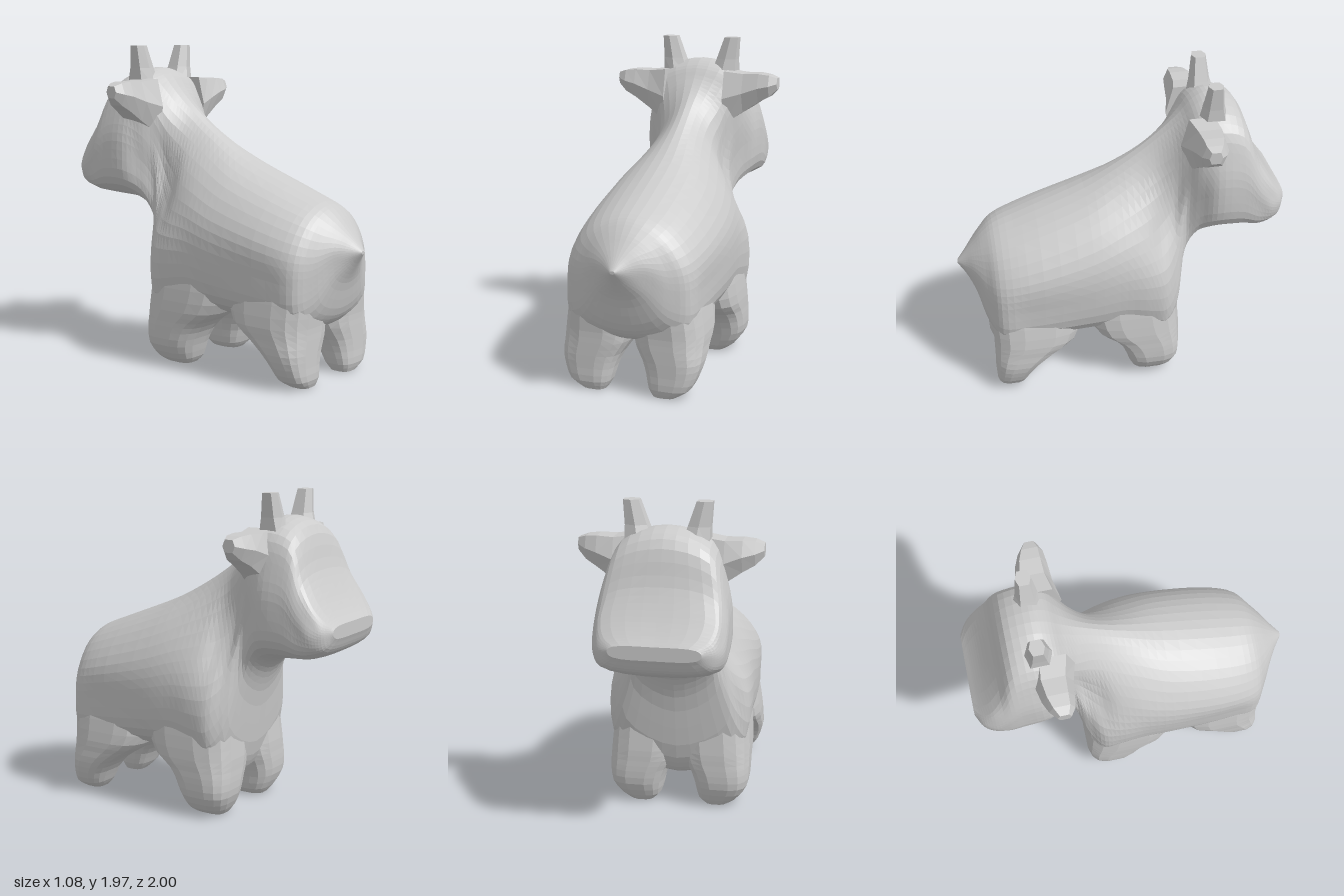
import * as THREE from 'three';

const V = (x, y, z) => new THREE.Vector3(x, y, z);

// Skin a list of equal-length rings into a closed surface, ends fanned to their centres
function skin(rings) {
  const n = rings[0].length, pos = [], idx = [];
  rings.forEach(r => r.forEach(p => pos.push(p.x, p.y, p.z)));
  for (let i = 0; i < rings.length - 1; i++)
    for (let j = 0; j < n; j++) {
      const a = i * n + j, b = i * n + (j + 1) % n;
      idx.push(a, b, a + n, b, b + n, a + n);
    }
  [0, rings.length - 1].forEach(e => {
    const c = rings[e].reduce((s, p) => s.add(p), V(0, 0, 0)).divideScalar(n);
    const k = pos.push(c.x, c.y, c.z) / 3 - 1;
    for (let j = 0; j < n; j++) {
      const a = e * n + j, b = e * n + (j + 1) % n;
      if (e) idx.push(a, b, k); else idx.push(b, a, k);
    }
  });
  // Turn the faces outward if the enclosed volume comes out negative
  const at = i => V(pos[3 * i], pos[3 * i + 1], pos[3 * i + 2]);
  let volume = 0;
  for (let i = 0; i < idx.length; i += 3)
    volume += at(idx[i]).dot(at(idx[i + 1]).cross(at(idx[i + 2])));
  if (volume < 0) idx.reverse();
  const g = new THREE.BufferGeometry();
  g.setAttribute('position', new THREE.Float32BufferAttribute(pos, 3));
  g.setIndex(idx);
  g.computeVertexNormals();
  return g;
}

// Resample rings smoothly along their length
function smoothRings(rings, count) {
  const curves = rings[0].map((_, j) =>
    new THREE.CatmullRomCurve3(rings.map(r => r[j]), false, 'centripetal'));
  return Array.from({ length: count + 1 }, (_, i) => curves.map(c => c.getPoint(i / count)));
}

// Rounded-box ring spanning two ranges; place(u, v) maps it into space
function roundRing(u0, u1, v0, v1, sides, place) {
  const soft = t => Math.sign(t) * Math.pow(Math.abs(t), 0.65);
  return Array.from({ length: sides }, (_, i) => {
    const a = (i + 0.5) / sides * Math.PI * 2;
    return place((u0 + u1) / 2 + soft(Math.cos(a)) * (u1 - u0) / 2,
      (v0 + v1) / 2 + soft(Math.sin(a)) * (v1 - v0) / 2);
  });
}

// Trunk, neck and head: z, bottom, top, half widths at four heights
const sections = [
  [1.0, 0.78, 0.8, 0.01, 0.015, 0.015, 0.01],
  [0.95, 0.7, 0.86, 0.05, 0.08, 0.08, 0.05],
  [0.9, 0.6, 0.92, 0.13, 0.16, 0.16, 0.1],
  [0.84, 0.4, 0.99, 0.25, 0.28, 0.26, 0.16],
  [0.77, 0.33, 1.05, 0.35, 0.38, 0.35, 0.21],
  [0.6, 0.32, 1.12, 0.37, 0.41, 0.4, 0.24],
  [0.2, 0.32, 1.28, 0.38, 0.44, 0.41, 0.23],
  [0, 0.31, 1.39, 0.38, 0.44, 0.38, 0.18],
  [-0.15, 0.24, 1.49, 0.38, 0.44, 0.33, 0.15],
  [-0.25, 0.2, 1.57, 0.38, 0.42, 0.26, 0.15],
  [-0.33, 0.32, 1.64, 0.34, 0.33, 0.22, 0.18],
  [-0.4, 0.74, 1.71, 0.24, 0.25, 0.25, 0.22],
  [-0.47, 0.9, 1.79, 0.27, 0.3, 0.31, 0.27],
  [-0.56, 0.97, 1.83, 0.33, 0.37, 0.34, 0.26],
  [-0.72, 0.99, 1.78, 0.35, 0.38, 0.35, 0.26],
  [-0.82, 1.01, 1.53, 0.35, 0.38, 0.37, 0.3],
  [-0.9, 1.04, 1.38, 0.33, 0.37, 0.36, 0.32],
  [-0.96, 1.08, 1.29, 0.3, 0.33, 0.33, 0.29],
  [-1.0, 1.16, 1.24, 0.23, 0.26, 0.26, 0.23],
];
const heights = [0.13, 0.4, 0.65, 0.9];

function bodyRing([z, y0, y1, ...w]) {
  const side = s => w.map((x, i) => V(s * x, y0 + (y1 - y0) * heights[i], z));
  const loop = [V(0, y0, z), ...side(1), V(0, y1, z), ...side(-1).reverse()];
  const curve = new THREE.CatmullRomCurve3(loop, true, 'centripetal');
  return Array.from({ length: 40 }, (_, i) => curve.getPoint(i / 40));
}

// Leg levels: y, inner x, outer x, z range; the tops flare into the belly arch
const frontLevels = [
  [0.0, 0.16, 0.31, -0.28, -0.08],
  [0.04, 0.12, 0.37, -0.31, -0.05],
  [0.13, 0.1, 0.43, -0.35, -0.02],
  [0.22, 0.07, 0.44, -0.36, 0.02],
  [0.29, 0.03, 0.44, -0.36, 0.08],
  [0.36, 0.01, 0.44, -0.36, 0.18],
  [0.5, 0.0, 0.43, -0.35, 0.24],
  [0.75, 0.0, 0.4, -0.34, 0.24],
];
const hindLevels = [
  [0.0, 0.15, 0.29, 0.67, 0.8],
  [0.05, 0.12, 0.37, 0.63, 0.82],
  [0.13, 0.1, 0.41, 0.59, 0.82],
  [0.21, 0.07, 0.43, 0.52, 0.82],
  [0.29, 0.02, 0.43, 0.4, 0.82],
  [0.36, 0.0, 0.43, 0.3, 0.82],
  [0.5, 0.0, 0.41, 0.26, 0.83],
  [0.75, 0.0, 0.36, 0.3, 0.83],
];
// Ear stations: x, y range, z range
const earStations = [
  [0.2, 1.4, 1.78, -0.6, -0.36],
  [0.32, 1.49, 1.76, -0.61, -0.39],
  [0.42, 1.56, 1.76, -0.59, -0.4],
  [0.49, 1.6, 1.75, -0.56, -0.41],
  [0.54, 1.65, 1.73, -0.52, -0.44],
];
// Horn levels: y, x range, z range
const hornLevels = [
  [1.7, 0.06, 0.25, -0.66, -0.46],
  [1.83, 0.11, 0.25, -0.62, -0.49],
  [1.97, 0.16, 0.26, -0.6, -0.51],
];

export function createModel() {
  const model = new THREE.Group();
  const material = new THREE.MeshStandardMaterial({ color: 0xcccccc, flatShading: true });
  const add = (name, rings) => {
    const mesh = new THREE.Mesh(skin(rings), material);
    mesh.name = name;
    model.add(mesh);
  };

  add('bodyAndHead', smoothRings(sections.map(bodyRing), 72));

  for (const [side, s] of [['left', 1], ['right', -1]]) {
    const upright = (levels, sides) => levels.map(([y, a, b, c, d]) =>
      roundRing(a, b, c, d, sides, (x, z) => V(s * x, y, z)));
    add(side + 'FrontLeg', smoothRings(upright(frontLevels, 16), 14));
    add(side + 'HindLeg', smoothRings(upright(hindLevels, 16), 14));
    add(side + 'Horn', upright(hornLevels, 6));
    add(side + 'Ear', earStations.map(([x, a, b, c, d]) =>
      roundRing(a, b, c, d, 6, (y, z) => V(s * x, y, z))));
  }
  return model;
}
